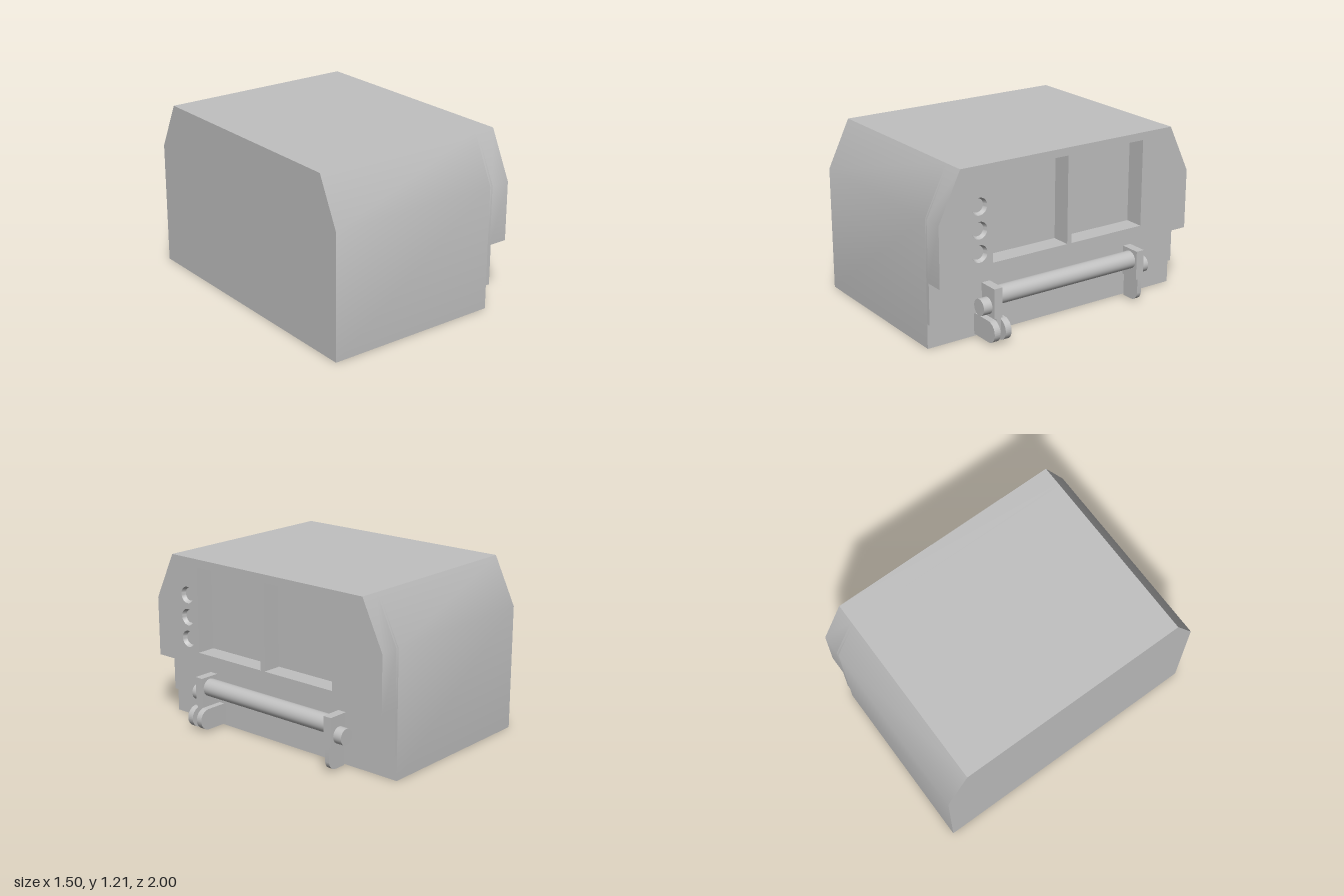
import * as THREE from 'three';
import { toCreasedNormals } from 'three/addons/utils/BufferGeometryUtils.js';

const BACK = -0.752, FACE = 0.668, LOWER = 0.51;

export function createModel() {
  const model = new THREE.Group();
  model.name = 'machine';
  const grey = new THREE.MeshStandardMaterial({ color: 0xc0c0c0 });
  grey.name = 'grey';

  const add = (name, geometry, x = 0, y = 0, z = 0, parent = model) => {
    const mesh = new THREE.Mesh(geometry, grey);
    mesh.name = name;
    mesh.position.set(x, y, z);
    parent.add(mesh);
    return mesh;
  };
  const box = (name, x0, x1, y0, y1, z0, z1, parent) =>
    add(name, new THREE.BoxGeometry(x1 - x0, y1 - y0, z1 - z0),
      (x0 + x1) / 2, (y0 + y1) / 2, (z0 + z1) / 2, parent);
  const rod = (name, r, x, y, z0, z1, parent) =>
    add(name, new THREE.CylinderGeometry(r, r, z1 - z0, 40).rotateX(Math.PI / 2),
      x, y, (z0 + z1) / 2, parent);
  const extrude = (shape, depth) => toCreasedNormals(new THREE.ExtrudeGeometry(
    shape, { depth, bevelEnabled: false, curveSegments: 20 }), 0.6);

  // Side profile with sloped shoulders, drawn in (-z, y)
  const profile = (bottom) => new THREE.Shape([
    [-1, bottom], [1, bottom], [1, 0.875], [0.84, 1.207], [-0.84, 1.207], [-1, 0.875],
  ].map(([u, y]) => new THREE.Vector2(u, y)));
  const slab = (name, shape, x0, x1) =>
    add(name, extrude(shape, x1 - x0).rotateY(Math.PI / 2), x0);

  // Body, stepped under the fascia
  slab('body', profile(0), BACK, LOWER);
  box('middleStep', LOWER, 0.538, 0.17, 0.46, -1, 1);
  slab('windowBacking', profile(0.457), LOWER, 0.53);

  // Fascia with two deep window recesses and three lamp holes
  const fascia = profile(0.457);
  for (const [z0, z1] of [[0.02, 0.605], [-0.6, -0.015]]) {
    fascia.holes.push(new THREE.Path([
      new THREE.Vector2(-z1, 0.55), new THREE.Vector2(-z1, 1.153),
      new THREE.Vector2(-z0, 1.153), new THREE.Vector2(-z0, 0.55),
    ]));
  }
  const lampCup = toCreasedNormals(new THREE.LatheGeometry([
    new THREE.Vector2(0.058, 0), new THREE.Vector2(0.046, -0.03), new THREE.Vector2(0, -0.03),
  ], 40).rotateZ(-Math.PI / 2), 0.6);
  for (const y of [0.63, 0.785, 0.942]) {
    fascia.holes.push(new THREE.Path().absarc(-0.703, y, 0.058, 0, Math.PI * 2, true));
    add('lampRecess', lampCup, FACE, y, 0.703);
  }
  slab('fascia', fascia, 0.53, FACE);

  // Roller bar held by two brackets
  rod('rollerBar', 0.062, 0.622, 0.302, -0.556, 0.556);

  // Bracket tongue with a rounded outer lower corner
  const tongue = new THREE.Shape();
  tongue.moveTo(0.552, 0.013);
  tongue.lineTo(0.632, 0.013);
  tongue.absarc(0.632, 0.078, 0.065, -Math.PI / 2, 0, false);
  tongue.lineTo(0.697, 0.176);
  tongue.lineTo(0.552, 0.176);
  for (const side of [1, -1]) {
    const bracket = new THREE.Group();
    bracket.name = side > 0 ? 'frontBracket' : 'rearBracket';
    model.add(bracket);
    const c = side * 0.583;
    box('bracketBlock', 0.552, 0.697, 0.175, 0.38, c - 0.031, c + 0.031, bracket);
    rod('bracketPin', 0.057, 0.617, 0.245,
      Math.min(side * 0.61, side * 0.678), Math.max(side * 0.61, side * 0.678), bracket);
    add('bracketTongue', extrude(tongue, 0.034), 0, 0, c - 0.017, bracket);
  }

  // Pair of hinge knuckles either side of the front tongue
  const knuckle = new THREE.Shape();
  knuckle.moveTo(LOWER, 0.016);
  knuckle.lineTo(0.674, 0.016);
  knuckle.absarc(0.674, 0.09, 0.074, -Math.PI / 2, Math.PI / 2, false);
  knuckle.lineTo(LOWER, 0.164);
  for (const z of [0.517, 0.602]) add('hingeKnuckle', extrude(knuckle, 0.045), 0, 0, z);

  return model;
}
